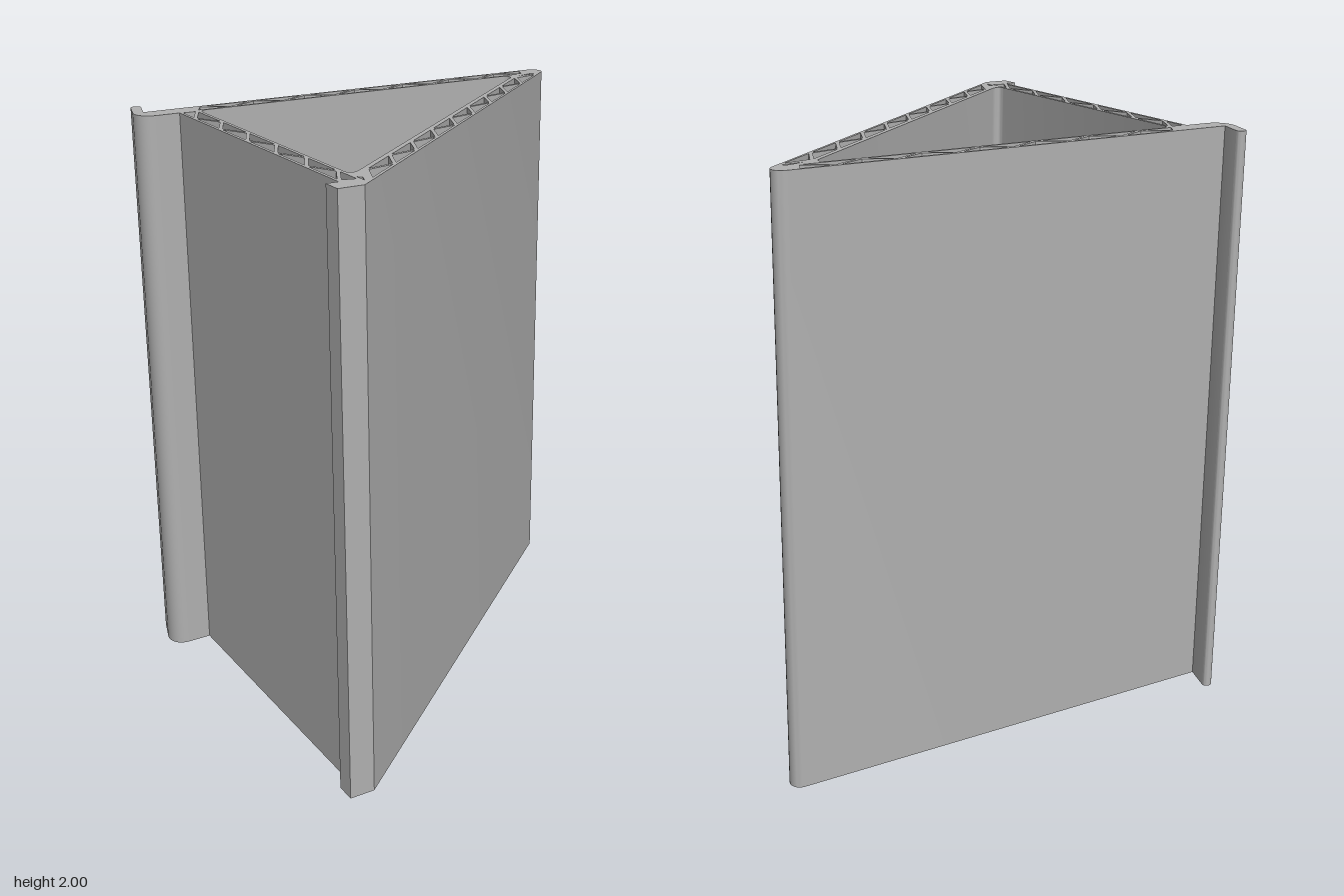
import * as THREE from 'three';
import { toCreasedNormals } from 'three/addons/utils/BufferGeometryUtils.js';

const HEIGHT = 2;
const CAVITY = 0.025; // half the width of the hollow inside a wall
const WEB = 0.012;    // thickness of a zigzag web

// Plan points are given as (x, z); shape y is -z so the extrusion rises along +y.
const polygon = (pts) => new THREE.Path(pts.map(([x, z]) => new THREE.Vector2(x, -z)));

// Triangular cells left between the zigzag webs of one wall.
// Odd cells have their apex on the side towards (dz, -dx), even cells on the other.
function trussCells({ origin, dir, pitch, first, last, from, to }) {
  const [dx, dz] = dir;
  const inset = (WEB / 2) * Math.hypot(pitch, 2 * CAVITY) / (2 * CAVITY);
  const drop = inset * 2 * CAVITY / pitch;
  const at = (s, n) => {
    const c = THREE.MathUtils.clamp(s, from, to);
    return [origin[0] + dx * c + dz * n, origin[1] + dz * c - dx * n];
  };
  const cells = [];
  for (let i = first; i <= last; i++) {
    const side = i % 2 ? 1 : -1;
    const s = i * pitch;
    cells.push(polygon([
      at(s - pitch + inset, -side * CAVITY),
      at(s + pitch - inset, -side * CAVITY),
      at(s, side * (CAVITY - drop)),
    ]));
  }
  return cells;
}

// Outer contour with hook, foot and rounded far corner
function outline() {
  const s = new THREE.Shape();
  const line = (x, z) => s.lineTo(x, -z);
  const curve = (a, b, c, d, x, z) => s.bezierCurveTo(a, -b, c, -d, x, -z);
  s.moveTo(-0.752, 0.672);
  curve(-0.748, -0.693, -0.782, -0.698, -0.788, -0.675);      // hook tip
  line(-0.816, -0.585);
  curve(-0.826, -0.545, -0.805, -0.507, -0.762, -0.507);      // hook heel
  line(-0.68, -0.507);
  line(-0.68, 0.616);
  line(-0.721, 0.616);                                        // foot
  line(-0.721, 0.685);
  line(-0.634, 0.685);
  line(0.803, -0.514);                                        // sloping face
  curve(0.832, -0.54, 0.818, -0.581, 0.783, -0.581);          // far corner
  line(-0.779, -0.581);
  s.closePath();
  return s;
}

// Large triangular opening with rounded corners
function opening() {
  const p = new THREE.Path();
  p.moveTo(-0.607, 0.481);
  p.quadraticCurveTo(-0.607, 0.511, -0.577, 0.511);
  p.lineTo(0.615, 0.511);
  p.bezierCurveTo(0.64, 0.511, 0.655, 0.488, 0.63, 0.469);
  p.lineTo(-0.565, -0.525);
  p.bezierCurveTo(-0.585, -0.542, -0.607, -0.54, -0.607, -0.515);
  p.closePath();
  return p;
}

export function createModel() {
  const group = new THREE.Group();
  group.name = 'triangularProfile';
  const grey = new THREE.MeshStandardMaterial({ color: 0xb0b0b0 });
  grey.name = 'grey';

  const shape = outline();
  shape.holes.push(
    opening(),
    // back wall
    ...trussCells({ origin: [-0.48, -0.546], dir: [1, 0], pitch: 0.1, first: -1, last: 12, from: -0.125, to: 1.22 }),
    // side wall
    ...trussCells({ origin: [-0.644, 0], dir: [0, 1], pitch: 0.1, first: -5, last: 6, from: -0.502, to: 0.611 })
      .filter(Boolean),
    // sloping wall
    ...trussCells({ origin: [-0.449, 0.484], dir: [0.769, -0.64], pitch: 0.0968, first: -1, last: 15, from: -0.24, to: 1.53 }),
    // small end cells
    polygon([[-0.608, 0.592], [-0.595, 0.602], [-0.608, 0.635]]),
    polygon([[0.68, -0.488], [0.762, -0.497], [0.752, -0.508]]),
  );

  const geometry = new THREE.ExtrudeGeometry(shape, { depth: HEIGHT, bevelEnabled: false, curveSegments: 10 });
  geometry.rotateX(-Math.PI / 2);
  const profile = new THREE.Mesh(toCreasedNormals(geometry, 0.6), grey);
  profile.name = 'hollowWallProfile';
  group.add(profile);
  return group;
}
